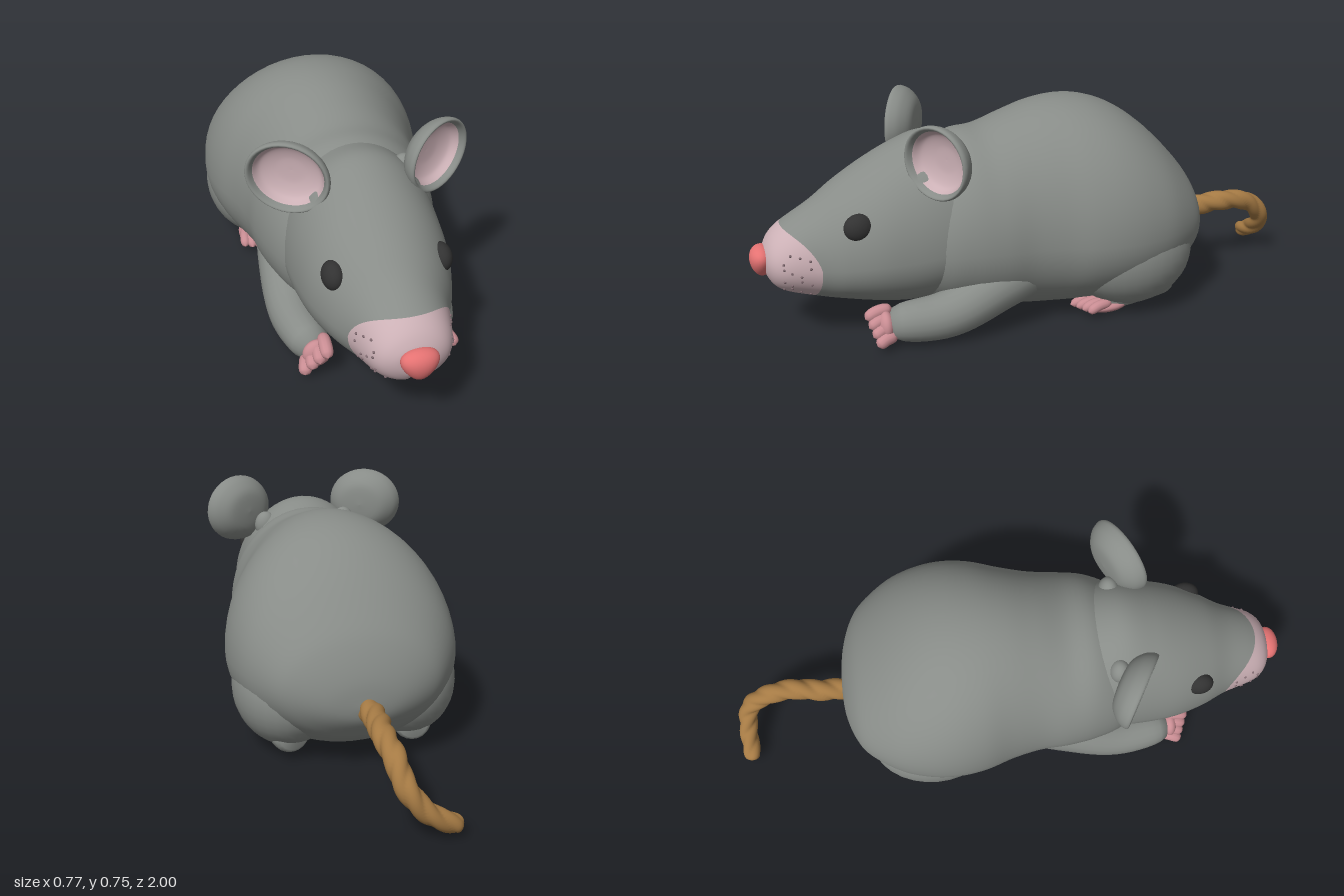
import * as THREE from 'three';

const mat = (name, color) => {
  const m = new THREE.MeshStandardMaterial({ color });
  m.name = name;
  return m;
};
const V = (x, y, z) => new THREE.Vector3(x, y, z);

// Closed-loop surface: fn(u, angle) gives a point, u runs 0..1
function skin(fn, nu, nv) {
  const pos = [], idx = [];
  for (let i = 0; i <= nu; i++)
    for (let j = 0; j < nv; j++) {
      const p = fn(i / nu, (j / nv) * Math.PI * 2);
      pos.push(p.x, p.y, p.z);
      if (i === nu) continue;
      const k = (j + 1) % nv, a = i * nv + j, b = i * nv + k;
      idx.push(a, b, a + nv, b, b + nv, a + nv);
    }
  const g = new THREE.BufferGeometry();
  g.setAttribute('position', new THREE.Float32BufferAttribute(pos, 3));
  g.setIndex(idx);
  g.computeVertexNormals();
  return g;
}

// Tube along a curve with radius(t, angle)
function sweep(points, radius, nu = 24, nv = 20) {
  const curve = new THREE.CatmullRomCurve3(points);
  const f = curve.computeFrenetFrames(nu, false);
  return skin((t, a) => {
    const i = Math.round(t * nu), r = radius(t, a);
    return curve.getPointAt(t)
      .addScaledVector(f.normals[i], r * Math.cos(a))
      .addScaledVector(f.binormals[i], r * Math.sin(a));
  }, nu, nv);
}

// Egg-shaped sections: rows of [z, bottom, widest height, top, half width]
function sections(rows) {
  const interp = new THREE.CubicInterpolant(rows.map((_, i) => i), rows.flat(), 5);
  return (u, a) => {
    const [z, yb, yc, yt, w] = interp.evaluate(u);
    const c = Math.cos(a), s = Math.sin(a);
    return V(w * c, yc + s * (s > 0 ? yt - yc : yc - yb), z);
  };
}

const round = (t, p = 4) => Math.sqrt(Math.max(0, 1 - Math.abs(2 * t - 1) ** p));

export function createModel() {
  const group = new THREE.Group();
  const fur = mat('grey fur', 0x888c88);
  const skinPink = mat('pale pink skin', 0xcbb0b5);
  const pawPink = mat('paw pink', 0xc98d93);
  const nosePink = mat('nose red', 0xe47272);
  const black = mat('eye black', 0x323232);
  const rope = mat('rope brown', 0xa57a44);
  const dark = mat('whisker pit', 0x806a70);

  const add = (name, geo, material, x = 0, y = 0, z = 0) => {
    const m = new THREE.Mesh(geo, material);
    m.name = name;
    m.position.set(x, y, z);
    group.add(m);
    return m;
  };
  const ball = (name, material, p, s) => {
    const m = add(name, new THREE.SphereGeometry(1, 32, 20), material, ...p);
    m.scale.set(...s);
    return m;
  };
  const digit = (name, a, b, r) => {
    const mid = a.clone().lerp(b, 0.55);
    mid.y += 0.008;
    add(name, sweep([a, mid, b], t => r * round(t), 12, 12), pawPink);
  };

  // Body
  const bodyRows = [
    [-0.597, 0.25, 0.25, 0.25, 0], [-0.585, 0.2, 0.27, 0.34, 0.12],
    [-0.55, 0.15, 0.29, 0.43, 0.22], [-0.5, 0.1, 0.3, 0.505, 0.285],
    [-0.4, 0.04, 0.31, 0.61, 0.35], [-0.3, 0.015, 0.31, 0.685, 0.38],
    [-0.2, 0.008, 0.31, 0.727, 0.387], [-0.1, 0.006, 0.31, 0.74, 0.372],
    [0, 0.005, 0.31, 0.73, 0.338], [0.1, 0.012, 0.31, 0.7, 0.316],
    [0.2, 0.025, 0.31, 0.665, 0.31], [0.3, 0.04, 0.31, 0.652, 0.293],
    [0.4, 0.065, 0.3, 0.58, 0.255], [0.5, 0.12, 0.3, 0.48, 0.17],
    [0.53, 0.3, 0.3, 0.3, 0],
  ];
  const body = sections(bodyRows);
  add('body', skin((t, a) => body(t * (bodyRows.length - 1), a), 70, 56), fur);

  // Head and muzzle share one surface, split along a curved border
  const headRows = [
    [0.2, 0.15, 0.35, 0.62, 0.24], [0.3, 0.1, 0.33, 0.65, 0.25],
    [0.4, 0.09, 0.31, 0.667, 0.255], [0.5, 0.088, 0.3, 0.635, 0.25],
    [0.6, 0.102, 0.295, 0.585, 0.236], [0.7, 0.122, 0.285, 0.525, 0.203],
    [0.785, 0.14, 0.28, 0.465, 0.163], [0.9, 0.178, 0.28, 0.395, 0.125],
    [0.945, 0.225, 0.285, 0.34, 0.075], [0.957, 0.285, 0.285, 0.285, 0],
  ];
  const headShape = sections(headRows);
  const head = (u, a) => {
    const p = headShape(u, a);
    // small cleft under the mouth
    if (u > 6 && Math.sin(a) < 0)
      p.y += 0.016 * Math.min(1, u - 6) * Math.exp(-((p.x / 0.015) ** 2)) * -Math.sin(a);
    return p;
  };
  const border = a => {
    const s = Math.sin(a);
    return 6 + (s > 0 ? 0.9 * s ** 1.3 : 0.25 * s * s);
  };
  add('head', skin((t, a) => head(t * border(a), a), 48, 64), fur);
  add('muzzle', skin((t, a) => head(border(a) + t * (9 - border(a)), a), 24, 64), skinPink);

  // Nose: a ball narrowed toward the bottom
  const noseGeo = new THREE.SphereGeometry(1, 32, 24);
  const np = noseGeo.attributes.position;
  for (let i = 0; i < np.count; i++) {
    const y = np.getY(i);
    np.setX(i, np.getX(i) * (0.9 + 0.35 * y));
    np.setZ(i, np.getZ(i) * (0.9 + 0.15 * y));
  }
  noseGeo.computeVertexNormals();
  add('nose', noseGeo, nosePink, 0, 0.281, 0.958).scale.set(0.062, 0.053, 0.043);

  const lathe = pts => new THREE.LatheGeometry(
    new THREE.SplineCurve(pts.map(p => new THREE.Vector2(...p))).getPoints(28), 40)
    .rotateX(Math.PI / 2).scale(0.96, 0.86, 1);
  const earShell = lathe([[0, -0.058], [0.08, -0.05], [0.125, -0.02], [0.142, 0.012],
    [0.139, 0.028], [0.129, 0.026], [0.119, 0.008]]);
  const earDish = lathe([[0.12, 0.01], [0.1, -0.014], [0.055, -0.028], [0, -0.031]]);

  for (const s of [1, -1]) {
    const side = s > 0 ? 'left ' : 'right ';

    // Ear
    for (const [name, geo, m] of [['ear', earShell, fur], ['inner ear', earDish, skinPink]])
      add(side + name, geo, m, s * 0.238, 0.633, 0.405).rotation.set(0, s * 0.52, s * 0.15);
    ball(side + 'ear root', fur, [s * 0.15, 0.575, 0.37], [0.04, 0.05, 0.035]);

    // Eye
    ball(side + 'eye', black, [s * 0.171, 0.42, 0.661], [0.037, 0.047, 0.05]);

    // Whisker pits
    for (let i = 0; i < 16; i++) {
      const a = -0.85 + (i % 4) * 0.36 + (i % 3) * 0.1;
      const p = head(6.3 + Math.floor(i / 4) * 0.24, s > 0 ? a : Math.PI - a);
      ball(side + 'whisker pit', dark, [p.x, p.y, p.z], [0.0045, 0.0045, 0.0045]);
    }

    // Front leg and paw
    add(side + 'frontLeg', sweep(
      [V(s * 0.15, 0.23, 0.0), V(s * 0.205, 0.165, 0.2), V(s * 0.232, 0.095, 0.39),
        V(s * 0.207, 0.08, 0.6)],
      t => (0.108 - 0.042 * t) * round(t, 10)), fur);
    ball(side + 'front palm', pawPink, [s * 0.205, 0.075, 0.598], [0.048, 0.05, 0.028]);
    for (let i = 0; i < 4; i++)
      digit(side + 'finger', V(s * (0.18 + 0.018 * i), 0.122 - 0.025 * i, 0.57),
        V(s * (0.187 + 0.023 * i), 0.1 - 0.024 * i, 0.664 - 0.008 * i), 0.022);

    // Haunch, hind foot and toes
    ball(side + 'haunch', fur, [s * 0.2, 0.215, -0.28], [0.178, 0.195, 0.23]);
    add(side + 'hind foot', sweep(
      [V(s * 0.2, 0.1, -0.44), V(s * 0.22, 0.08, -0.33), V(s * 0.235, 0.062, -0.23),
        V(s * 0.24, 0.055, -0.15)],
      t => (0.072 - 0.034 * t) * round(t, 8)), fur);
    ball(side + 'hind sole', pawPink, [s * 0.24, 0.035, -0.18], [0.048, 0.025, 0.08]);
    for (let i = 0; i < 4; i++)
      digit(side + 'toe', V(s * (0.215 + 0.017 * i), 0.05, -0.19),
        V(s * (0.205 + 0.026 * i), 0.034, -0.06 - 0.012 * i), 0.018);
  }

  // Twisted rope tail
  add('tail', sweep(
    [V(-0.01, 0.24, -0.56), V(-0.01, 0.25, -0.68), V(0, 0.257, -0.78), V(-0.008, 0.235, -0.88),
      V(-0.025, 0.17, -0.95), V(-0.085, 0.095, -0.972), V(-0.19, 0.035, -0.968)],
    (t, a) => (0.041 - 0.009 * t) * round(t, 30) *
      (0.82 + 0.2 * Math.abs(Math.sin(1.5 * (a - t * 16)))), 140, 30), rope);

  return group;
}
